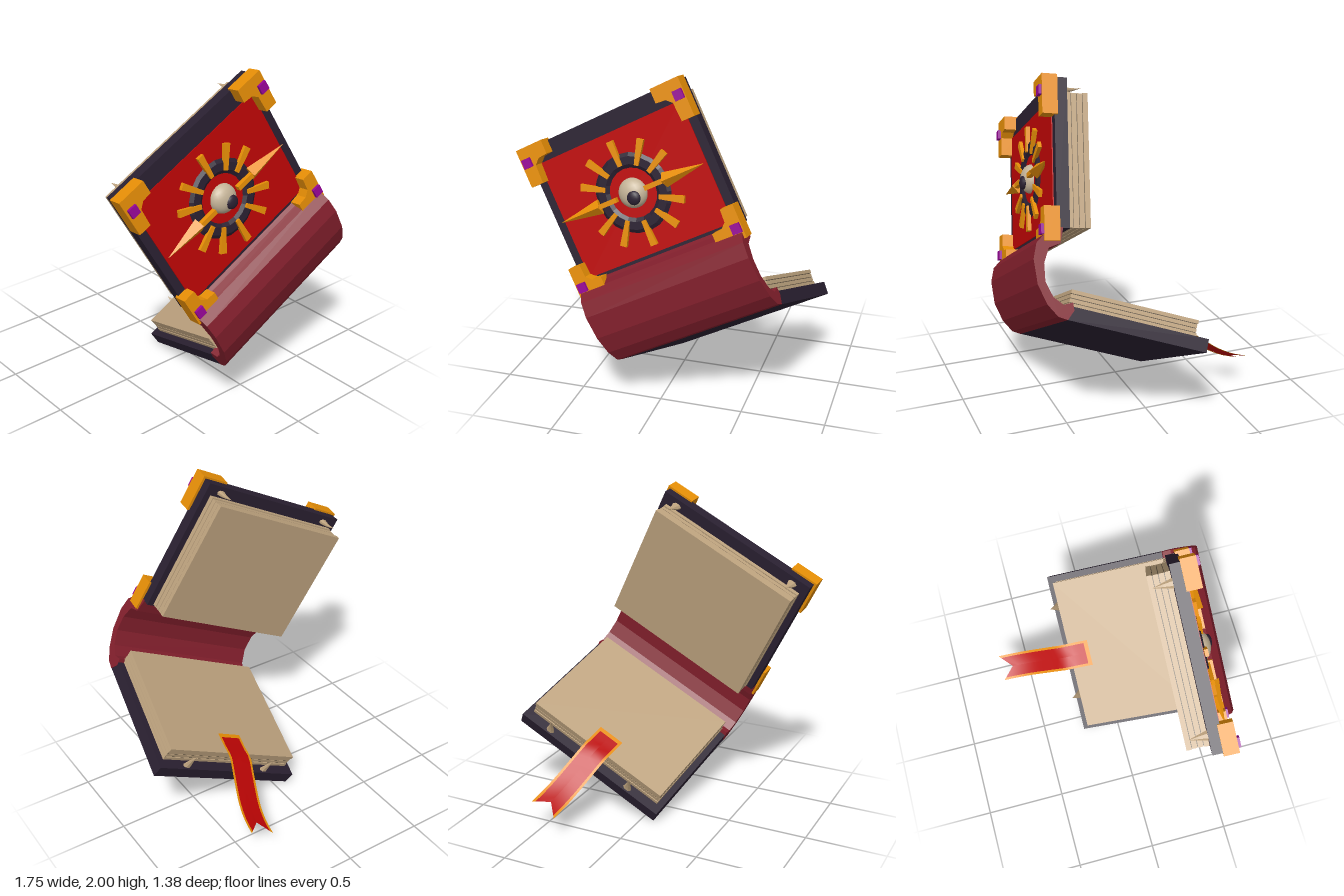
import * as THREE from 'three';

const mat = (name, color, extra = {}) => {
  const m = new THREE.MeshStandardMaterial({ color, ...extra });
  m.name = name;
  return m;
};

export function createModel() {
  const cover = mat('dark leather', 0x2a2031);
  const red = mat('red', 0xbc0505, { side: THREE.DoubleSide });
  const spineRed = mat('spine maroon', 0x821f2c);
  const gold = mat('gold', 0xe68e06, { side: THREE.DoubleSide });
  const paper = mat('paper', 0xbda27e);
  const gap = mat('page gap', 0x5c5040);
  const gem = mat('purple gem', 0x960496);
  const ivory = mat('eye ivory', 0xc4b397);

  const add = (parent, name, geo, material, x = 0, y = 0, z = 0) => {
    const m = new THREE.Mesh(geo, material);
    m.name = name;
    m.position.set(x, y, z);
    parent.add(m);
    return m;
  };
  const group = (parent, name, x = 0, y = 0, z = 0) => {
    const g = new THREE.Group();
    g.name = name;
    g.position.set(x, y, z);
    parent.add(g);
    return g;
  };
  const box = (w, h, d) => new THREE.BoxGeometry(w, h, d);
  const extrude = (pts, depth) => new THREE.ExtrudeGeometry(
    new THREE.Shape(pts.map(([x, y]) => new THREE.Vector2(x, y))), { depth, bevelEnabled: false });

  // Book space: x along the hinge, y up, z forward; the whole book is rolled about z
  const model = new THREE.Group();
  model.name = 'openBook';
  const book = group(model, 'book');
  book.rotation.z = THREE.MathUtils.degToRad(27.7);
  const MID = 0.471, WIDTH = 1.074, PAGE_W = 0.994;

  // Stack of page slabs, thickness growing along +y, length running to -z
  function pageBlock(parent, length, thickness) {
    const g = group(parent, 'pages');
    const layers = 4, step = thickness / layers;
    add(g, 'pageCore', box(PAGE_W - 0.012, thickness - 0.024, length - 0.012), gap, 0, thickness / 2, -length / 2);
    for (let i = 0; i < layers; i++) {
      const inset = (i % 3 ? 0.004 : 0);
      add(g, 'pageLayer', box(PAGE_W - inset, step - 0.004, length - inset), paper,
        0, step * (i + 0.5), -(length - inset) / 2);
    }
    return g;
  }

  // Small curved tooth pointing along +y
  const toothGeo = new THREE.ConeGeometry(0.032, 0.12, 7, 4).toNonIndexed();
  const tp = toothGeo.attributes.position;
  for (let i = 0; i < tp.count; i++) {
    const t = tp.getY(i) / 0.12 + 0.5;
    tp.setXYZ(i, tp.getX(i), t * 0.12, tp.getZ(i) * 0.6 - 0.02 * t * t);
  }
  toothGeo.computeVertexNormals();

  // Lower cover with its pages
  const lower = group(book, 'lowerCover', MID, 0.418, 0.532);
  lower.rotation.x = THREE.MathUtils.degToRad(-21.5);
  add(lower, 'lowerBoard', box(WIDTH, 0.078, 0.83), cover, 0, -0.039, -0.415);
  pageBlock(lower, 0.767, 0.1);
  for (const s of [-1, 1]) add(lower, 'tooth', toothGeo, paper, s * 0.31 + 0.02, -0.01, -0.803);

  // Upper cover: y runs away from the hinge, z is the outside face
  const upper = group(book, 'upperCover', MID, 0.85, 0.46);
  upper.rotation.x = THREE.MathUtils.degToRad(-8.5);
  add(upper, 'upperBoard', box(WIDTH, 0.86, 0.075), cover, 0, 0.42, 0.0375);
  add(upper, 'frontPanel', box(0.968, 0.727, 0.008), red, 0, 0.3785, 0.077);
  const upperPages = pageBlock(upper, 0.78, 0.135);
  upperPages.rotation.x = Math.PI / 2;
  upperPages.position.z = -0.135;
  for (const s of [-1, 1]) {
    add(upper, 'tooth', toothGeo, paper, s * 0.43, 0.808, 0.005).rotation.set(-Math.PI / 2, Math.PI, 0);
  }

  // Gold corner guards with gems
  for (const sx of [-1, 1]) for (const top of [true, false]) {
    const x0 = sx * 0.553, y0 = top ? 0.862 : -0.083, h = top ? 0.23 : 0.195, dir = top ? -1 : 1;
    const pts = [[0, 0], [0.18, 0], [0.18, 0.085], [0.12, 0.09], [0.085, 0.12], [0.08, h], [0, h]]
      .map(([x, y]) => [x0 - sx * x, y0 + dir * y]);
    add(upper, 'cornerGuard', extrude(pts, 0.09), gold, 0, 0, 0.06);
    add(upper, 'cornerGem', box(0.056, 0.056, 0.03), gem, sx * 0.515 + 0.004, top ? 0.77 : -0.016, 0.152);
  }

  // Sun emblem with an eye
  const sun = group(upper, 'sunEmblem', 0, 0.376, 0.08);
  const ringGeo = new THREE.TorusGeometry(0.19, 0.046, 6, 20).toNonIndexed();
  ringGeo.scale(1, 1, 0.4);
  ringGeo.computeVertexNormals();
  add(sun, 'darkRing', ringGeo, cover);
  const rayGeo = extrude([[0.165, -0.013], [0.318, -0.021], [0.318, 0.021], [0.165, 0.013]], 0.022);
  for (const base of [27, 55, 90, 125, 153]) for (const s of [-1, 1]) {
    add(sun, 'ray', rayGeo, gold, 0, 0, 0.006).rotation.z = THREE.MathUtils.degToRad(s * base);
  }
  const spikeGeo = new THREE.ConeGeometry(0.045, 0.27, 4).toNonIndexed();
  spikeGeo.computeVertexNormals();
  spikeGeo.rotateZ(-Math.PI / 2);
  for (const a of [0, Math.PI]) {
    const spike = group(sun, 'longSpike');
    spike.rotation.z = a;
    add(spike, 'spikeTip', spikeGeo, gold, 0.351, 0, 0.03).rotation.y = -0.08;
    add(spike, 'spikeStem', box(0.13, 0.028, 0.03), gold, 0.16, 0, 0.035);
  }
  const eye = add(sun, 'eyeball', new THREE.SphereGeometry(0.088, 20, 14), ivory);
  eye.scale.z = 0.7;
  const pupil = add(sun, 'pupil', new THREE.SphereGeometry(0.042, 14, 10), cover, 0.014, -0.026, 0.052);
  pupil.scale.z = 0.5;

  // Rounded spine, profile as [-z, y], extruded along the hinge
  const spinePts = [
    [-0.56, 0.345], [-0.61, 0.37], [-0.66, 0.445], [-0.695, 0.56], [-0.695, 0.7], [-0.665, 0.785],
    [-0.61, 0.83], [-0.56, 0.845], [-0.537, 0.858], [-0.5, 0.85], [-0.53, 0.765], [-0.6, 0.75],
    [-0.64, 0.67], [-0.65, 0.57], [-0.62, 0.48], [-0.57, 0.43], [-0.515, 0.435], [-0.515, 0.39]];
  const spineGeo = extrude(spinePts, WIDTH + 0.004);
  spineGeo.rotateY(Math.PI / 2);
  add(book, 'spine', spineGeo, spineRed, MID - WIDTH / 2 - 0.002, 0, 0);

  // Ribbon bookmark with a gold border and a forked tail
  const path = new THREE.CatmullRomCurve3([
    [0.29, -0.09], [0.25, -0.2], [0.233, -0.26], [0.162, -0.35], [0.045, -0.5], [-0.005, -0.6], [-0.03, -0.69],
  ].map(([y, z]) => new THREE.Vector3(0, y, z)));
  const HALF = 0.086, ROWS = 14;
  const strip = (x0, x1, t0, t1) => {
    const geo = new THREE.PlaneGeometry(1, 1, 1, ROWS);
    const p = geo.attributes.position;
    for (let i = 0; i < p.count; i++) {
      const x = p.getX(i) < 0 ? x0 : x1;
      const end = t1 ?? 1 - 0.12 * (1 - Math.abs(x) / HALF);
      const q = path.getPointAt(t0 + (end - t0) * (p.getY(i) + 0.5));
      p.setXYZ(i, x, q.y, q.z);
    }
    geo.computeVertexNormals();
    return geo;
  };
  const ribbon = group(book, 'ribbon', 0.465);
  const inner = HALF - 0.016;
  add(ribbon, 'ribbonEnd', strip(-inner, inner, 0, 0.04, 0.04), gold);
  for (const s of [-1, 1]) {
    add(ribbon, 'ribbonBorder', s > 0 ? strip(inner, HALF, 0) : strip(-HALF, -inner, 0), gold);
    add(ribbon, 'ribbonCloth', s > 0 ? strip(0, inner, 0.04) : strip(-inner, 0, 0.04), red);
  }
  return model;
}
